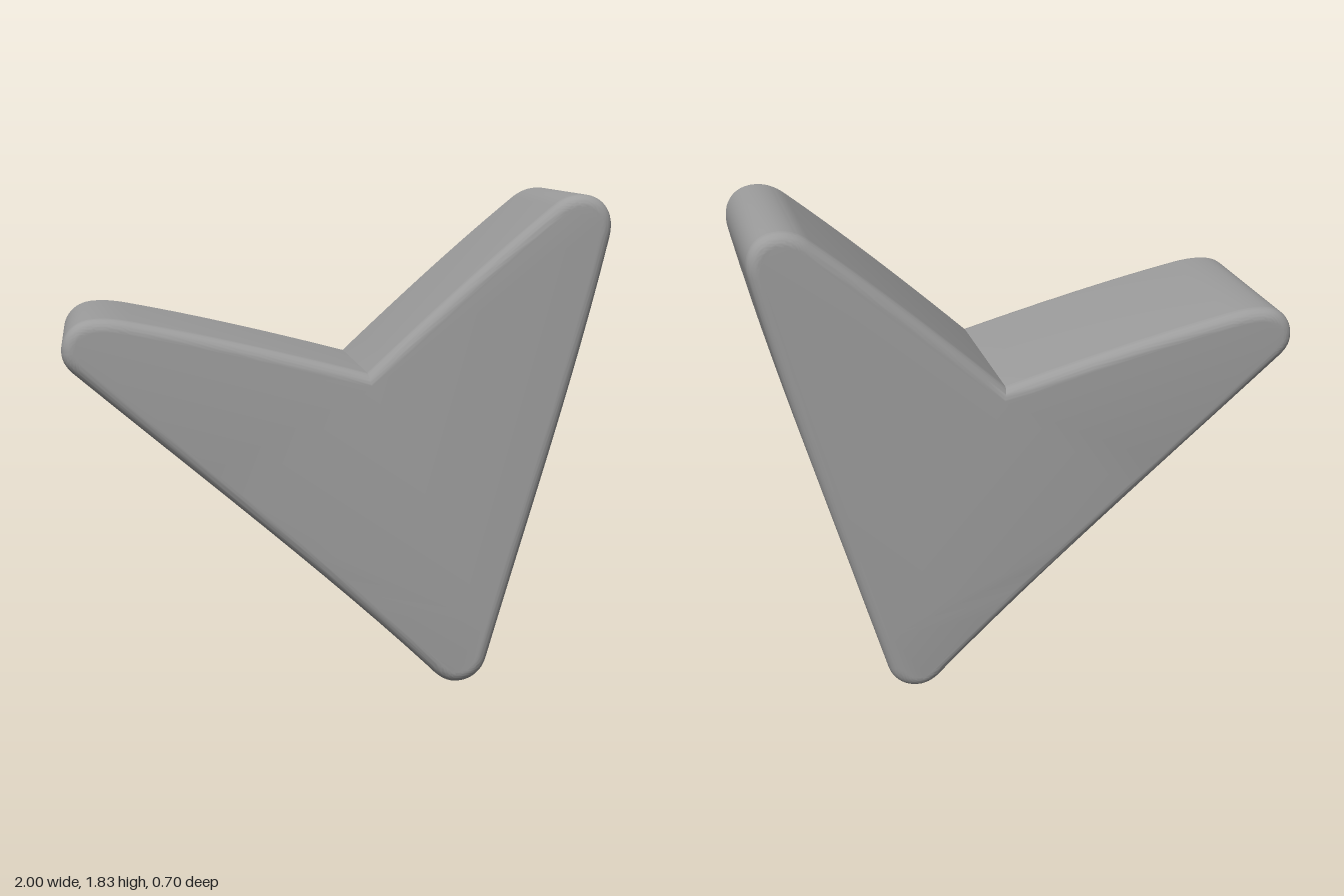
import * as THREE from 'three';
import { toCreasedNormals } from 'three/addons/utils/BufferGeometryUtils.js';

const DEPTH = 0.7;
const BEVEL = 0.045;

// Three-pointed outline with rounded tips and one sharp notch on top
function bodyOutline() {
  const s = new THREE.Shape();
  s.moveTo(0.1, 1.19);
  // left arm of the outline: notch to tip
  s.quadraticCurveTo(-0.4, 1.325, -0.75, 1.392);
  s.bezierCurveTo(-0.82, 1.406, -0.86, 1.406, -0.895, 1.402);
  s.bezierCurveTo(-0.96, 1.395, -1, 1.345, -1, 1.29);
  s.bezierCurveTo(-1, 1.25, -0.98, 1.225, -0.95, 1.2);
  // long lower edge
  s.bezierCurveTo(-0.5, 0.81, -0.04, 0.43, 0.34, 0.06);
  // bottom tip
  s.bezierCurveTo(0.375, 0.022, 0.405, 0, 0.445, 0);
  s.bezierCurveTo(0.5, 0, 0.545, 0.035, 0.56, 0.09);
  // steep side edge
  s.bezierCurveTo(0.72, 0.66, 0.87, 1.13, 0.994, 1.67);
  // upper tip
  s.bezierCurveTo(1.017, 1.765, 0.967, 1.83, 0.885, 1.83);
  s.bezierCurveTo(0.845, 1.83, 0.81, 1.815, 0.78, 1.79);
  // back down to the notch
  s.quadraticCurveTo(0.5, 1.565, 0.1, 1.19);
  return s;
}

export function createModel() {
  const group = new THREE.Group();
  group.name = 'notchedWedge';

  // Thick slab with softly rounded front and back rims
  const slab = new THREE.ExtrudeGeometry(bodyOutline(), {
    depth: DEPTH - 2 * BEVEL,
    curveSegments: 12,
    bevelEnabled: true,
    bevelSize: BEVEL,
    bevelThickness: BEVEL,
    bevelOffset: -BEVEL,
    bevelSegments: 12,
  });
  slab.translate(0, 0, BEVEL - DEPTH / 2);

  const body = new THREE.Mesh(
    toCreasedNormals(slab, 0.6),
    new THREE.MeshStandardMaterial({ color: 0x9c9c9c })
  );
  body.name = 'body';
  group.add(body);
  return group;
}
